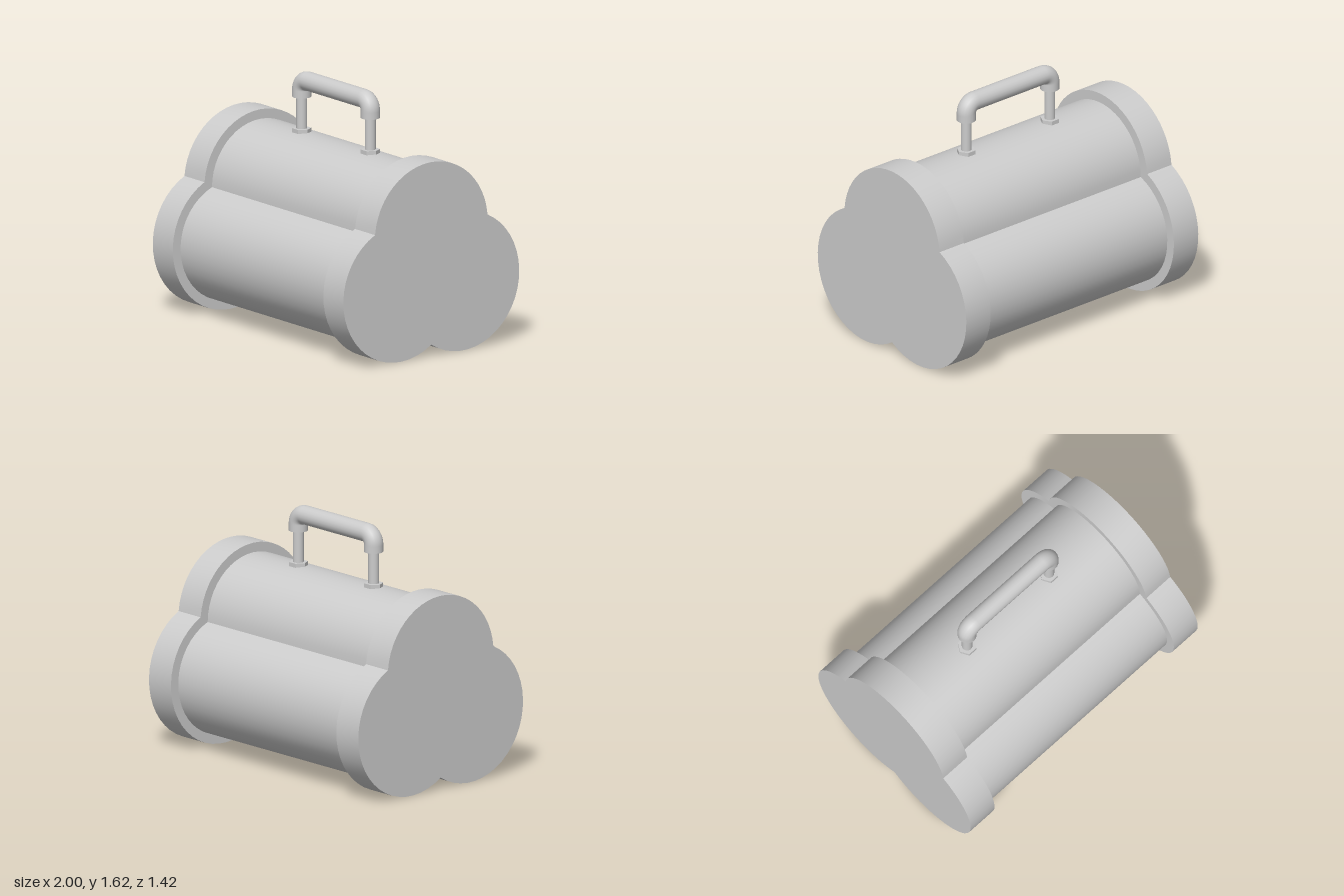
import * as THREE from 'three';
import { toCreasedNormals } from 'three/addons/utils/BufferGeometryUtils.js';

const material = new THREE.MeshStandardMaterial({ color: 0xcccccc });

function add(parent, name, geometry, x = 0, y = 0, z = 0) {
  const mesh = new THREE.Mesh(geometry, material);
  mesh.name = name;
  mesh.position.set(x, y, z);
  parent.add(mesh);
  return mesh;
}

// Outline of three overlapping circles, walked counter-clockwise lobe by lobe
function trefoilShape(r) {
  const top = new THREE.Vector2(0, 0.825);
  const left = new THREE.Vector2(-0.254, 0.458);
  const right = new THREE.Vector2(0.254, 0.458);
  // Outer crossing point of two neighbouring circles, a before b
  const crossing = (a, b) => {
    const d = b.clone().sub(a);
    const h = Math.sqrt(r * r - d.lengthSq() / 4);
    return a.clone().add(b).multiplyScalar(0.5)
      .add(new THREE.Vector2(d.y, -d.x).normalize().multiplyScalar(h));
  };
  const lobes = [right, top, left];
  const points = [];
  lobes.forEach((c, i) => {
    const from = crossing(lobes[(i + 2) % 3], c).sub(c).angle();
    let to = crossing(c, lobes[(i + 1) % 3]).sub(c).angle();
    if (to < from) to += Math.PI * 2;
    const steps = 24;
    for (let k = 0; k < steps; k++) {
      const a = from + (to - from) * k / steps;
      points.push(new THREE.Vector2(c.x + r * Math.cos(a), c.y + r * Math.sin(a)));
    }
  });
  return new THREE.Shape(points);
}

// Trefoil prism running along x, centred on the origin
function trefoilPrism(r, length) {
  const geometry = new THREE.ExtrudeGeometry(trefoilShape(r), { depth: length, bevelEnabled: false });
  geometry.translate(0, 0, -length / 2).rotateY(Math.PI / 2);
  return toCreasedNormals(geometry, Math.PI / 6);
}

export function createModel() {
  const model = new THREE.Group();
  model.name = 'trefoilCanister';

  // Body and the wider end caps
  add(model, 'body', trefoilPrism(0.394, 1.6));
  for (const side of [-1, 1]) {
    add(model, side > 0 ? 'leftEndCap' : 'rightEndCap', trefoilPrism(0.457, 0.21), side * 0.895);
  }

  // Carrying handle
  const handle = new THREE.Group();
  handle.name = 'handle';
  model.add(handle);

  const px = 0.36, low = 1.45, high = 1.564, bend = 0.066, gripRadius = 0.062;
  const v = (x, y) => new THREE.Vector3(x, y, 0);
  const k = bend * 0.4477; // control point offset for a round bend
  const path = new THREE.CurvePath();
  path.add(new THREE.LineCurve3(v(-px, low), v(-px, high - bend)));
  path.add(new THREE.CubicBezierCurve3(v(-px, high - bend), v(-px, high - k), v(-px + k, high), v(-px + bend, high)));
  path.add(new THREE.LineCurve3(v(-px + bend, high), v(px - bend, high)));
  path.add(new THREE.CubicBezierCurve3(v(px - bend, high), v(px - k, high), v(px, high - k), v(px, high - bend)));
  path.add(new THREE.LineCurve3(v(px, high - bend), v(px, low)));
  add(handle, 'grip', new THREE.TubeGeometry(path, 100, gripRadius, 20));

  // Posts, grip end discs and foot collars
  for (const side of [-1, 1]) {
    const disc = new THREE.CircleGeometry(gripRadius, 20).rotateX(Math.PI / 2);
    add(handle, 'gripEnd', disc, side * px, low);
    add(handle, 'post', new THREE.CylinderGeometry(0.035, 0.035, 0.3, 20), side * px, 1.35);
    const collar = toCreasedNormals(new THREE.CylinderGeometry(0.062, 0.062, 0.035, 6, 1, false, Math.PI / 6), 0.5);
    add(handle, 'footCollar', collar, side * px, 1.2245);
  }
  return model;
}
